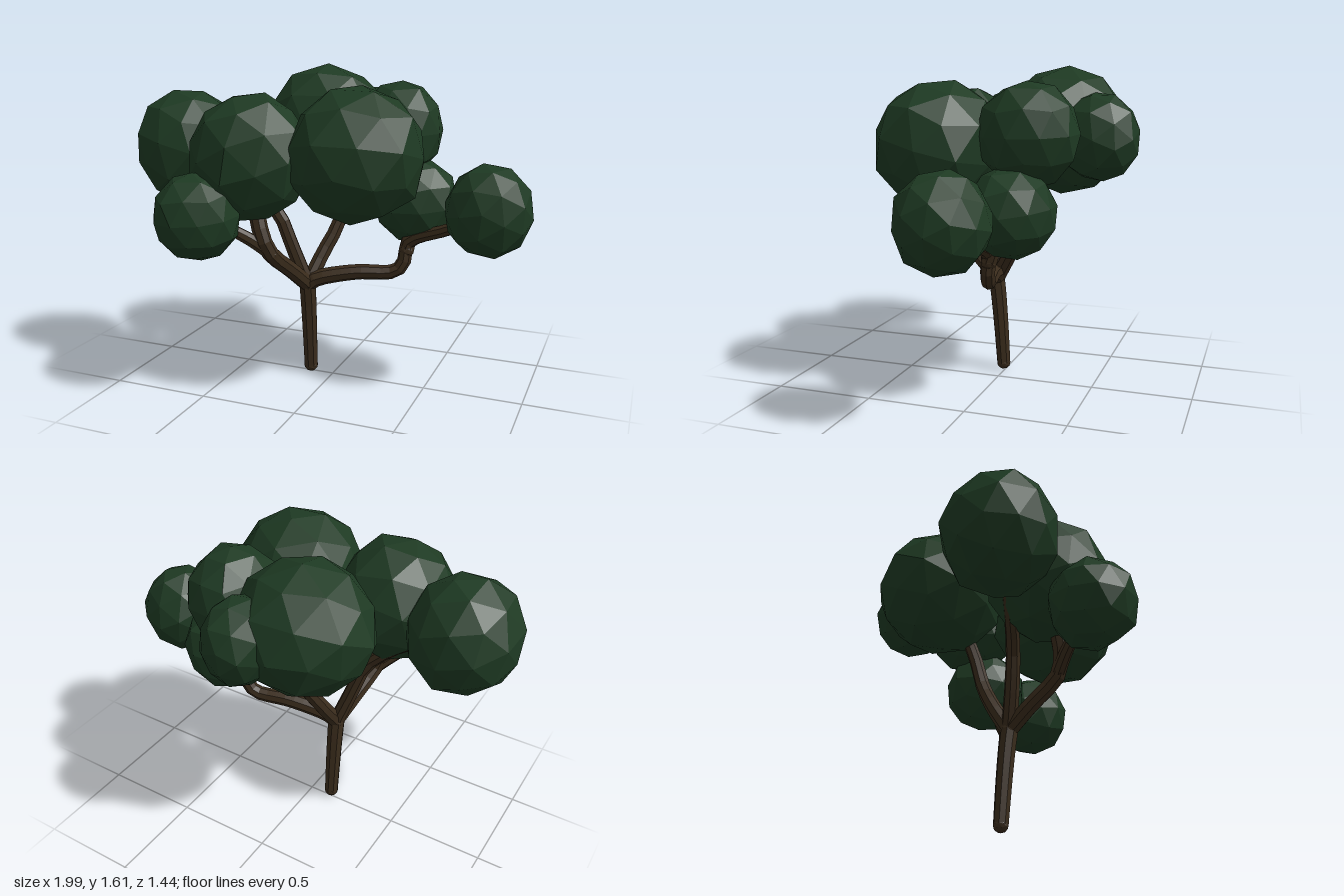
import * as THREE from 'three';

const bark = new THREE.MeshStandardMaterial({ color: 0x3a2c1c, flatShading: true });
const leaf = new THREE.MeshStandardMaterial({ color: 0x1e3a23, flatShading: true });

// Faceted limb through the given points, tapering from r0 to r1, with closed tips
function limb(name, points, r0, r1, segments = 8) {
  const sides = 8;
  const curve = new THREE.CatmullRomCurve3(points.map(p => new THREE.Vector3(...p)), false, 'centripetal');
  const geo = new THREE.TubeGeometry(curve, segments, 1, sides);
  const pos = geo.attributes.position;
  const v = new THREE.Vector3();
  for (let i = 0; i <= segments; i++) {
    const t = i / segments;
    const c = curve.getPointAt(t);
    const r = THREE.MathUtils.lerp(r0, r1, t);
    for (let j = 0; j <= sides; j++) {
      const k = i * (sides + 1) + j;
      v.fromBufferAttribute(pos, k).sub(c).multiplyScalar(r).add(c);
      pos.setXYZ(k, v.x, v.y, v.z);
    }
  }
  const group = new THREE.Group();
  group.name = name;
  group.add(new THREE.Mesh(geo, bark));
  // Rounded tips
  [[points[0], r0], [points[points.length - 1], r1]].forEach(([p, r]) => {
    const tip = new THREE.Mesh(new THREE.IcosahedronGeometry(r, 1), bark);
    tip.position.set(...p);
    group.add(tip);
  });
  group.children.forEach((m, i) => { m.name = i ? 'limbTip' : 'limbBody'; });
  return group;
}

// Irregular low-poly leaf clump
function clump(name, [x, y, z], [rx, ry, rz], seed) {
  const geo = new THREE.IcosahedronGeometry(1, 1);
  geo.rotateX(seed * 1.3);
  geo.rotateY(seed * 2.1);
  const pos = geo.attributes.position;
  const v = new THREE.Vector3();
  for (let i = 0; i < pos.count; i++) {
    v.fromBufferAttribute(pos, i);
    const bump = 1.0 + 0.035 * Math.sin(5 * v.x + seed) * Math.cos(4 * v.y - seed + 3 * v.z);
    v.multiplyScalar(bump);
    pos.setXYZ(i, v.x, v.y, v.z);
  }
  geo.scale(rx, ry, rz);
  const mesh = new THREE.Mesh(geo, leaf);
  mesh.name = name;
  mesh.position.set(x, y, z);
  return mesh;
}

export function createModel() {
  const tree = new THREE.Group();
  tree.name = 'tree';

  // Trunk and branches
  const fork = [-0.12, 0.5, 0.05];
  tree.add(
    limb('trunk', [[-0.12, 0.036, 0.01], [-0.12, 0.25, 0.025], [-0.12, 0.42, 0.04], fork], 0.037, 0.045),
    limb('frontBranch', [fork, [-0.16, 0.6, 0.16], [-0.21, 0.73, 0.31], [-0.24, 0.82, 0.33], [-0.3, 1.05, 0.3]], 0.042, 0.04, 10),
    limb('frontTwig', [[-0.2, 0.72, 0.3], [-0.29, 0.8, 0.36], [-0.45, 0.92, 0.48]], 0.036, 0.025),
    limb('rightBranch', [fork, [-0.19, 0.7, 0.08], [-0.26, 0.88, 0.1], [-0.45, 1.05, 0.12], [-0.65, 1.15, 0.14]], 0.04, 0.03, 10),
    limb('backBranch', [fork, [-0.07, 0.65, -0.04], [-0.01, 0.8, -0.11], [0, 0.95, -0.15], [-0.02, 1.15, -0.22]], 0.042, 0.032, 10),
    limb('leftBranch', [fork, [-0.08, 0.53, 0.04], [0.12, 0.575, -0.01], [0.32, 0.59, -0.06],
      [0.36, 0.64, -0.07], [0.38, 0.74, -0.08], [0.58, 0.83, -0.05], [0.78, 0.92, -0.02]], 0.044, 0.028, 22),
    limb('leftTwig', [[0.37, 0.7, -0.08], [0.38, 0.8, -0.12], [0.38, 0.92, -0.18]], 0.04, 0.03)
  );

  // Leaf clumps: centre, radii
  const clumps = [
    ['rightClump', [-0.73, 1.2, 0.14], [0.275, 0.295, 0.275]],
    ['frontRightClump', [-0.31, 1.19, 0.29], [0.305, 0.315, 0.3]],
    ['frontLeftClump', [0.21, 1.22, 0.23], [0.335, 0.325, 0.325]],
    ['lowFrontClump', [-0.485, 0.93, 0.515], [0.21, 0.215, 0.21]],
    ['farLeftClump', [0.79, 0.95, -0.02], [0.215, 0.23, 0.22]],
    ['backClump', [-0.15, 1.285, -0.305], [0.335, 0.32, 0.325]],
    ['smallBackClump', [0.04, 1.27, -0.52], [0.18, 0.215, 0.2]],
    ['backLeftClump', [0.28, 1.29, -0.24], [0.215, 0.25, 0.245]],
    ['lowLeftClump', [0.38, 0.94, -0.19], [0.22, 0.22, 0.215]],
  ];
  clumps.forEach(([name, centre, radii], i) => tree.add(clump(name, centre, radii, i + 1)));
  return tree;
}
